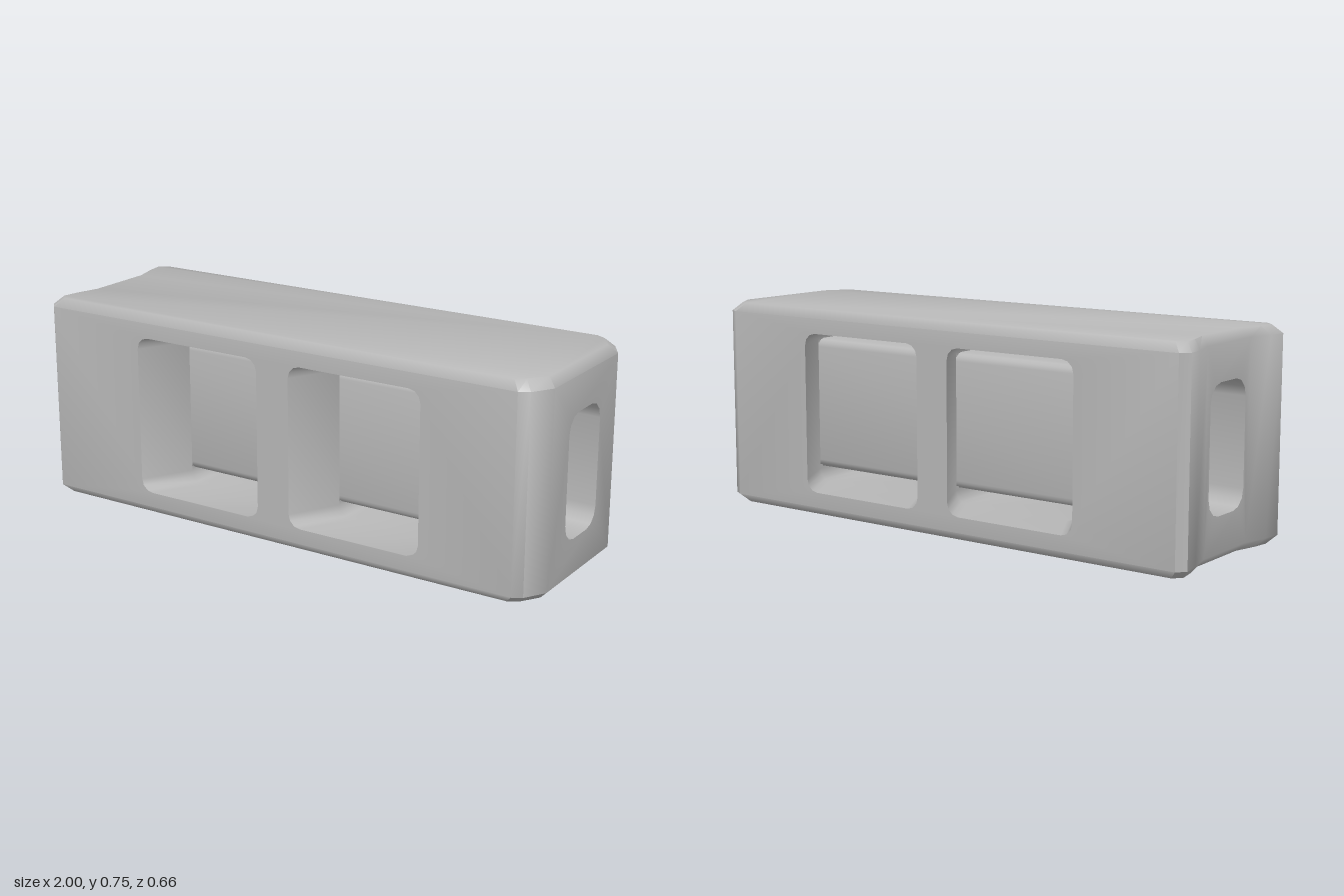
import * as THREE from 'three';
import { mergeGeometries, toCreasedNormals } from 'three/addons/utils/BufferGeometryUtils.js';

const H = 0.75, BEVEL = 0.03, HALF_Z = 0.33, MID = 0.375;
const TUBE_Z = 0.155, SHIFT = 0.095;
const END_R = 1, END_L = -0.965;

// Counter-clockwise rounded rectangle as [u, v] points
function roundRect(cx, cy, w, h, r, n = 3) {
  const pts = [];
  [[1, -1], [1, 1], [-1, 1], [-1, -1]].forEach(([sx, sy], k) => {
    for (let i = 0; i <= n; i++) {
      const a = (k - 1 + i / n) * Math.PI / 2;
      pts.push([cx + sx * (w / 2 - r) + r * Math.cos(a), cy + sy * (h / 2 - r) + r * Math.sin(a)]);
    }
  });
  return pts;
}

// Skin between successive rings of [x, y, z] points
function loft(rings, closed = true) {
  const pos = [];
  for (let k = 0; k + 1 < rings.length; k++) {
    const a = rings[k], b = rings[k + 1], n = a.length;
    for (let i = 0; i < (closed ? n : n - 1); i++) {
      const j = (i + 1) % n;
      pos.push(...a[i], ...b[i], ...a[j], ...b[i], ...b[j], ...a[j]);
    }
  }
  const g = new THREE.BufferGeometry();
  g.setAttribute('position', new THREE.Float32BufferAttribute(pos, 3));
  return g;
}

// Flat face with holes, placed in space by a mapping rule
function plate(outline, holes, place, flip = false) {
  const vec = (pts) => pts.map((p) => new THREE.Vector2(...p));
  const shape = new THREE.Shape(vec(outline));
  holes.forEach((h) => shape.holes.push(new THREE.Path(vec(h))));
  const src = new THREE.ShapeGeometry(shape), idx = src.index.array, p = src.attributes.position;
  const pos = [];
  for (let i = 0; i < idx.length; i += 3) {
    const tri = flip ? [idx[i], idx[i + 2], idx[i + 1]] : [idx[i], idx[i + 1], idx[i + 2]];
    tri.forEach((v) => pos.push(...place(p.getX(v), p.getY(v))));
  }
  const g = new THREE.BufferGeometry();
  g.setAttribute('position', new THREE.Float32BufferAttribute(pos, 3));
  return g;
}

const rect = (u0, u1, v0, v1) => [[u0, v0], [u1, v0], [u1, v1], [u0, v1]];

export function createModel() {
  const model = new THREE.Group();
  model.name = 'slottedBlock';
  const grey = new THREE.MeshStandardMaterial({ color: 0xb8b8b8, side: THREE.DoubleSide });
  grey.name = 'light grey';
  const add = (name, parts, crease = 0.9) => {
    const mesh = new THREE.Mesh(toCreasedNormals(mergeGeometries(parts), crease), grey);
    mesh.name = name;
    model.add(mesh);
  };

  // Plan outline [x, z]: chamfered right end, hollowed left end
  const right = [[END_R, 0.235], [0.955, 0.31], [0.92, HALF_Z]];
  const left = [[-0.972, HALF_Z], [-1, 0.3], [-0.99, 0.235], [END_L, 0.14]];
  const mirror = (run) => run.map(([x, z]) => [x, -z]).reverse();
  const runs = [right, left, mirror(left), mirror(right)];
  const plan = runs.flat();
  const inset = plan.map(([x, z]) => [x * 0.97, z * 0.915]);
  const at = (pts, y) => pts.map(([x, z]) => [x, y, z]);
  const lo = BEVEL, hi = H - BEVEL;

  const windowXs = [-0.3275, 0.3175], winW = 0.515, winH = 0.58;
  const windows = windowXs.map((x) => roundRect(x, MID, winW, winH, 0.045));
  const slot = roundRect(0, MID, 0.23, 0.44, 0.065);
  const side = rect(-0.972, 0.92, lo, hi);

  // Outer shell: bevel bands, corner runs, caps, pierced sides and ends
  add('bodyShell', [
    loft([at(inset, 0), at(plan, lo)]),
    loft([at(plan, hi), at(inset, H)]),
    ...runs.map((run) => loft([at(run, lo), at(run, hi)], false)),
    plate(inset, [], (x, z) => [x, H, z], true),
    plate(inset, [], (x, z) => [x, 0, z]),
    plate(side, windows, (x, y) => [x, y, HALF_Z]),
    plate(side, windows, (x, y) => [x, y, -HALF_Z], true),
    plate(rect(-0.235, 0.235, lo, hi), [slot], (u, v) => [END_R, v, -u]),
    plate(rect(-0.14, 0.14, lo, hi), [slot], (u, v) => [END_L, v, u]),
  ]);

  // Slot running the full length, and the duct skin seen through the windows
  const atX = (pts, x) => pts.map(([z, y]) => [x, y, z]);
  add('lengthwiseSlot', [loft([atX(slot, END_R), atX(slot, END_L)])]);
  const duct = roundRect(0, MID + 0.002, TUBE_Z * 2, 0.485, 0.03);
  add('innerDuct', [loft([atX(duct, -0.65), atX(duct, 0.75)])]);

  // Window linings: slanted inward to the duct, straight above and below it
  windows.forEach((outline, i) => {
    const ring = (z, dx, pts = outline) => pts.map(([x, y]) => [x + dx, y, z]);
    const x0 = windowXs[i] - winW / 2, x1 = windowXs[i] + winW / 2;
    const upper = [[x1, 0.605], ...outline.filter((p) => p[1] > 0.605), [x0, 0.605]];
    const lower = [[x0, 0.145], ...outline.filter((p) => p[1] < 0.145 && p[0] < windowXs[i]),
      ...outline.filter((p) => p[1] < 0.145 && p[0] > windowXs[i]), [x1, 0.145]];
    add(i ? 'windowLiningLeft' : 'windowLiningRight', [
      loft([ring(TUBE_Z, SHIFT), ring(HALF_Z, 0)]),
      loft([ring(-HALF_Z, 0), ring(-TUBE_Z, SHIFT)]),
      ...[upper, lower].map((u) => loft([ring(-TUBE_Z, SHIFT, u), ring(TUBE_Z, SHIFT, u)], false)),
    ], 0.7);
  });
  return model;
}
